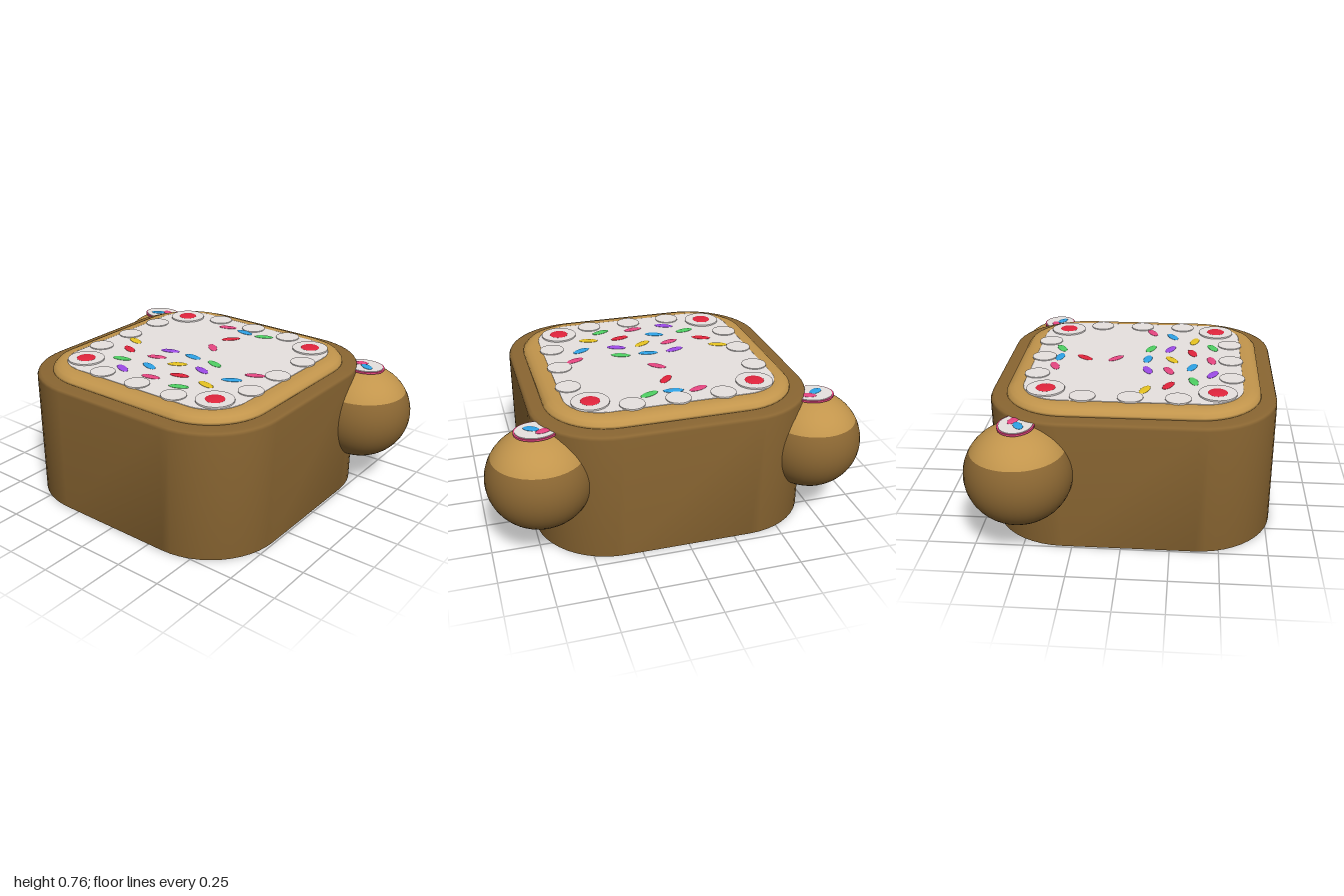
import * as THREE from 'three';

const mat = (name, color) => {
  const m = new THREE.MeshStandardMaterial({ color });
  m.name = name;
  return m;
};

export function createModel() {
  const M = {
    crust: mat('crust brown', 0x8a6632),
    sponge: mat('golden brown', 0xc2954c),
    cream: mat('cream', 0xf6f0ee),
    red: mat('cherry red', 0xe2243c),
    pink: mat('pink', 0xf24a88),
    blue: mat('blue', 0x30a8ee),
    green: mat('green', 0x4fd063),
    yellow: mat('yellow', 0xeac622),
    purple: mat('purple', 0xa04ceb),
  };
  const model = new THREE.Group();
  model.name = 'cake';
  const CZ = 0.037; // centre of the cake in z

  const add = (name, geo, material, x = 0, y = 0, z = 0, parent = model) => {
    const mesh = new THREE.Mesh(geo, material);
    mesh.name = name;
    mesh.position.set(x, y, z);
    parent.add(mesh);
    return mesh;
  };

  // Stacks rounded-square rings, given as [inset, y], and caps both ends
  function roundedLoft(half, radius, rings) {
    const seg = 12, n = 4 * (seg + 1), pos = [], idx = [];
    for (const [inset, y] of rings) {
      const r = Math.max(radius - inset, 0.03), c = half - inset - r;
      for (let q = 0; q < 4; q++) {
        const sx = q === 0 || q === 3 ? 1 : -1, sz = q < 2 ? 1 : -1;
        for (let i = 0; i <= seg; i++) {
          const a = (q + i / seg) * Math.PI / 2;
          pos.push(sx * c + r * Math.cos(a), y, sz * c + r * Math.sin(a));
        }
      }
    }
    for (let k = 0; k < rings.length - 1; k++) {
      for (let i = 0; i < n; i++) {
        const a = k * n + i, b = k * n + (i + 1) % n;
        idx.push(a, a + n, b, b, a + n, b + n);
      }
    }
    const last = (rings.length - 1) * n, bottom = pos.length / 3;
    pos.push(0, rings[0][1], 0, 0, rings[rings.length - 1][1], 0);
    for (let i = 0; i < n; i++) {
      const j = (i + 1) % n;
      idx.push(bottom, i, j, bottom + 1, last + j, last + i);
    }
    const g = new THREE.BufferGeometry();
    g.setAttribute('position', new THREE.Float32BufferAttribute(pos, 3));
    g.setIndex(idx);
    g.computeVertexNormals();
    return g;
  }

  // Cake body with a flat base and a rounded upper rim
  add('body', roundedLoft(0.74, 0.4, [
    [0.1, 0], [0, 0], [0, 0.68], [0.006, 0.694], [0.02, 0.7], [0.09, 0.7],
  ]), M.crust, 0, 0, CZ);

  // Raised golden top and the cream sheet on it
  add('topLayer', roundedLoft(0.66, 0.33, [
    [0, 0.695], [0.003, 0.712], [0.02, 0.73], [0.045, 0.74], [0.07, 0.743], [0.12, 0.743],
  ]), M.sponge, 0, 0, CZ);
  add('creamSheet', roundedLoft(0.565, 0.2, [
    [0, 0.74], [0, 0.745], [0.004, 0.746], [0.02, 0.746],
  ]), M.cream, 0, 0, CZ);

  // Flat dollops of cream around the edge
  const disc = new THREE.CylinderGeometry(1, 1, 1, 28);
  const dome = new THREE.SphereGeometry(1, 20, 8);
  const dollop = (name, x, z, r, h) =>
    add(name, disc, M.cream, x, 0.742 + h / 2, z).scale.set(r, h, r);
  for (const t of [-0.24, 0, 0.24]) {
    dollop('backDollop', t, -0.48, 0.066, 0.009);
    dollop('frontDollop', t, 0.547, 0.066, 0.009);
    dollop('rightDollop', -0.512, t + 0.033, 0.066, 0.009);
    dollop('leftDollop', 0.512, t + 0.033, 0.066, 0.009);
  }

  // Corner rosettes with cherries
  for (const x of [-0.437, 0.437]) {
    for (const z of [-0.404, 0.47]) {
      dollop('cornerRosette', x, z, 0.098, 0.012);
      add('cherry', dome, M.red, x, 0.753, z).scale.set(0.052, 0.007, 0.052);
    }
  }

  // Sprinkles: x, z, turn in degrees
  const sprinkle = (color, x, z, deg, y = 0.747, len = 0.054) => {
    const s = add(color + 'Sprinkle', dome, M[color], x, y, z);
    s.scale.set(len, 0.005, 0.023);
    s.rotation.y = deg * Math.PI / 180;
  };
  const sprinkles = {
    pink: [[-0.13, -0.403, 20], [0, -0.083, -42], [0.415, 0.1, 25], [-0.155, 0.213, 20], [0, 0.442, 10]],
    blue: [[0, -0.393, -8], [0, 0.093, -8], [0.355, 0.22, 28], [-0.103, 0.337, -20]],
    green: [[0.13, -0.4, 25], [0.155, 0.103, -20], [-0.29, 0.347, 15], [0.193, 0.45, 22]],
    red: [[0, -0.255, 50], [-0.352, 0.218, -25], [0.105, 0.337, 15]],
    yellow: [[-0.413, 0.1, -20], [0, 0.225, 32], [0.287, 0.348, -15]],
    purple: [[-0.155, 0.1, 18], [0.155, 0.213, -22], [-0.193, 0.447, -25]],
  };
  for (const [color, list] of Object.entries(sprinkles)) {
    for (const [x, z, deg] of list) sprinkle(color, x, z, deg);
  }

  // Round ears at the back corners, with a golden upper cap
  const split = 1.043;
  const earCap = new THREE.SphereGeometry(1, 40, 12, 0, Math.PI * 2, 0, split);
  const earBase = new THREE.SphereGeometry(1, 40, 20, 0, Math.PI * 2, split, Math.PI - split);
  for (const s of [-1, 1]) {
    const side = s > 0 ? 'left' : 'right';
    const ear = new THREE.Group();
    ear.name = side + 'Ear';
    ear.position.set(s * 0.727, 0.422, -0.505);
    ear.scale.set(0.273, 0.259, 0.273);
    add(side + 'EarCap', earCap, M.sponge, 0, 0, 0, ear);
    add(side + 'EarBase', earBase, M.crust, 0, 0, 0, ear);
    model.add(ear);
    // Icing patch with a pink rim and two sprinkles
    add(side + 'EarRim', disc, M.pink, s * 0.73, 0.68, -0.505).scale.set(0.112, 0.01, 0.092);
    add(side + 'EarIcing', disc, M.cream, s * 0.73, 0.684, -0.505).scale.set(0.103, 0.008, 0.084);
    sprinkle('pink', s * 0.695, -0.524, s * 20, 0.688, 0.042);
    sprinkle('blue', s * 0.75, -0.49, s * -28, 0.689, 0.042);
  }
  return model;
}
